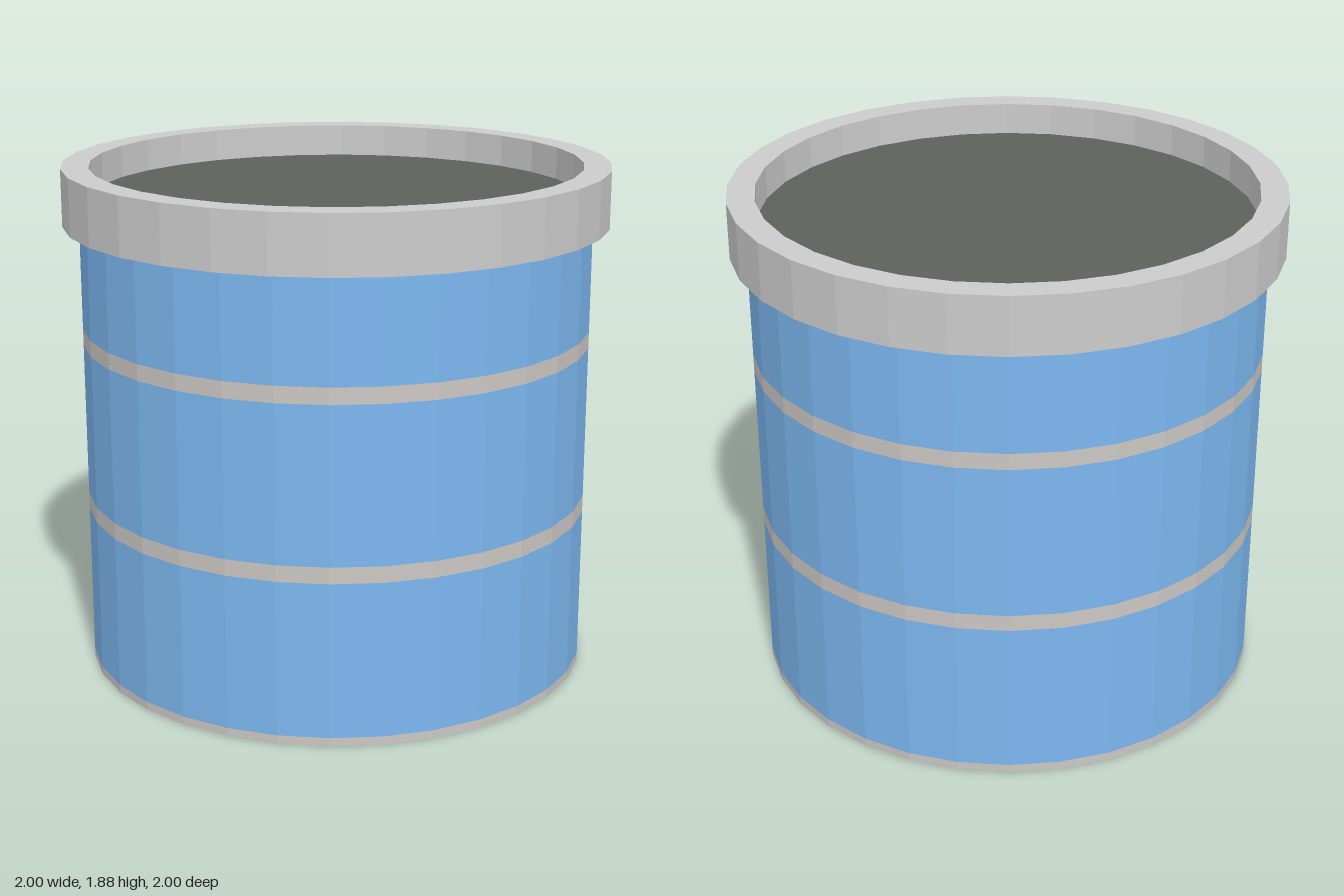
import * as THREE from 'three';

const SIDES = 32;
const BODY_R = 0.94, RIM_R = 1, INNER_R = 0.9;
const RIM_BOTTOM = 1.67, RIM_TOP = 1.88, FILL_Y = 1.76;

const material = (color) => new THREE.MeshStandardMaterial({ color, flatShading: true });

export function createModel() {
  const group = new THREE.Group();
  const grey = material(0xcccccc);
  const blue = material(0x7cb8f0);
  const band = material(0xccc7c3);
  const dark = material(0x5d605b);

  const add = (name, geometry, mat, y = 0) => {
    const mesh = new THREE.Mesh(geometry, mat);
    mesh.name = name;
    mesh.position.y = y;
    group.add(mesh);
  };

  // Wall: alternating flush grey bands and blue panels, from the ground up
  const levels = [0, 0.03, 0.6, 0.66, 1.23, 1.29, RIM_BOTTOM];
  for (let i = 0; i < levels.length - 1; i++) {
    const [y0, y1] = [levels[i], levels[i + 1]];
    const isBand = i % 2 === 0;
    add(isBand ? 'band' : 'wallPanel',
      new THREE.CylinderGeometry(BODY_R, BODY_R, y1 - y0, SIDES, 1, true),
      isBand ? band : blue, (y0 + y1) / 2);
  }

  // Flat base
  add('base', new THREE.CircleGeometry(BODY_R, SIDES).rotateX(Math.PI / 2), grey);

  // Overhanging rim with an open inner wall
  const profile = [
    [BODY_R, RIM_BOTTOM], [RIM_R, RIM_BOTTOM], [RIM_R, RIM_TOP],
    [INNER_R, RIM_TOP], [INNER_R, FILL_Y],
  ].map(([r, y]) => new THREE.Vector2(r, y));
  add('rim', new THREE.LatheGeometry(profile, SIDES), grey);

  // Dark surface recessed inside the rim
  add('contents', new THREE.CircleGeometry(INNER_R, SIDES).rotateX(-Math.PI / 2), dark, FILL_Y);

  return group;
}
